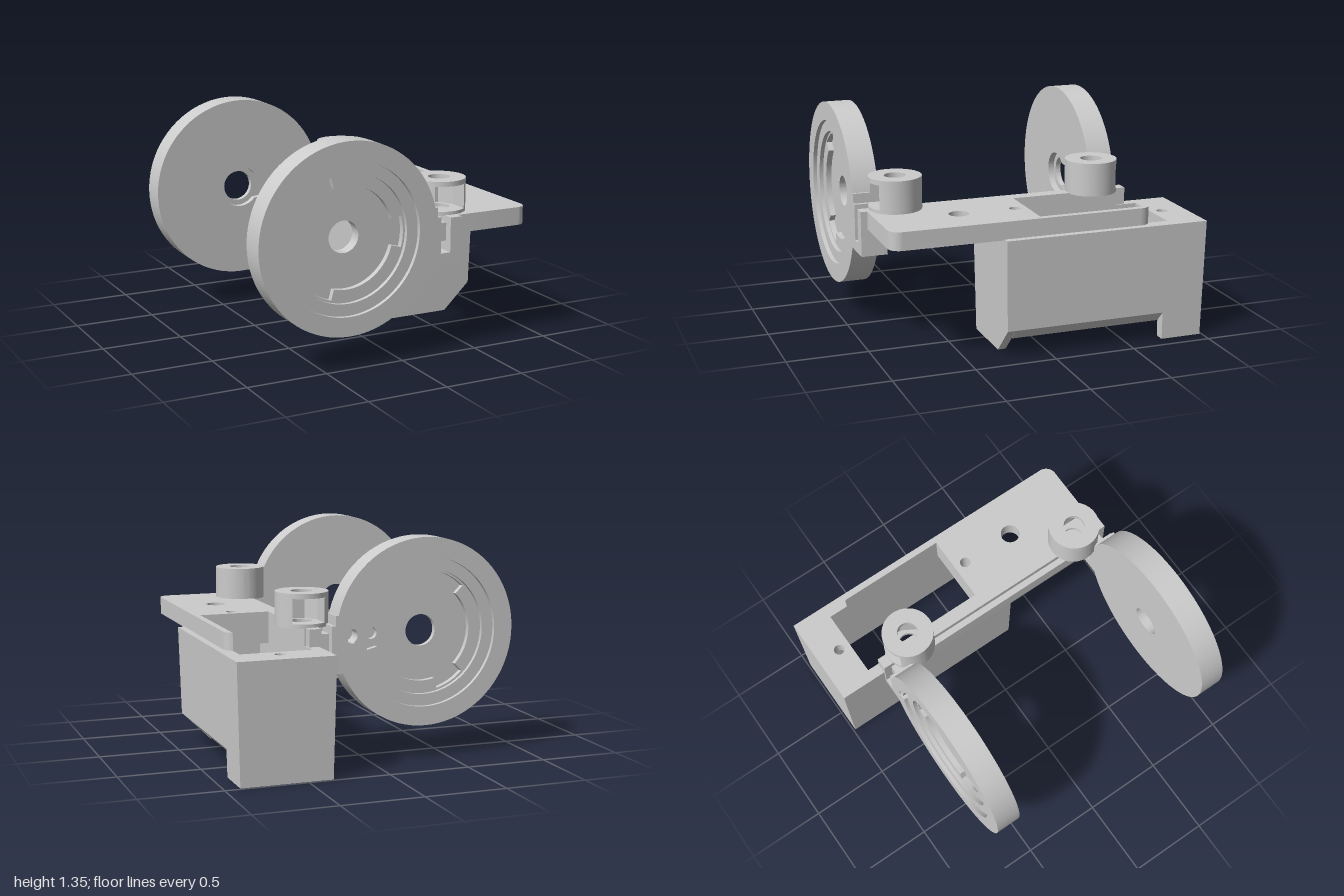
import * as THREE from 'three';
import { toCreasedNormals } from 'three/addons/utils/BufferGeometryUtils.js';

export function createModel() {
  const model = new THREE.Group();
  model.name = 'wheeledServoBracket';
  const grey = new THREE.MeshStandardMaterial({ color: 0xcccccc });
  grey.name = 'lightGrey';

  const add = (name, geo, parent = model) => {
    const mesh = new THREE.Mesh(toCreasedNormals(geo, 0.5), grey);
    mesh.name = name;
    parent.add(mesh);
  };
  const poly = pts => new THREE.Shape(pts.map(p => new THREE.Vector2(p[0], p[1])));
  const circle = (x, y, r) => new THREE.Path().absarc(x, y, r, 0, Math.PI * 2);
  const disc = (x, y, r) => new THREE.Shape().absarc(x, y, r, 0, Math.PI * 2);
  // Slab from an x-y outline between two z values
  const slabZ = (shape, z0, z1) =>
    new THREE.ExtrudeGeometry(shape, { depth: z1 - z0, bevelEnabled: false, curveSegments: 40 }).translate(0, 0, z0);
  // Slab from an x, -z outline between two y values
  const slabY = (shape, y0, y1) =>
    new THREE.ExtrudeGeometry(shape, { depth: y1 - y0, bevelEnabled: false, curveSegments: 40 })
      .rotateX(-Math.PI / 2).translate(0, y0, 0);
  const box = (x0, x1, y0, y1, z0, z1) =>
    new THREE.BoxGeometry(x1 - x0, y1 - y0, z1 - z0).translate((x0 + x1) / 2, (y0 + y1) / 2, (z0 + z1) / 2);

  // Wheel discs: stacked rings form a stepped socket with three notches on the outer face
  const CX = -0.349, CY = 0.773, R = 0.572, T = 0.16;
  const notched = () => {
    const p = new THREE.Path();
    for (let i = 0; i < 3; i++) {
      const a = i * Math.PI * 2 / 3, h = 0.26;
      p.absarc(CX, CY, 0.37, a - h, a + h);
      p.absarc(CX, CY, 0.305, a + h, a + Math.PI * 2 / 3 - h);
    }
    p.closePath();
    return p;
  };
  // Keyhole pocket for a lever arm
  const hornSlot = () => {
    const p = new THREE.Path();
    p.absarc(CX, CY, 0.13, 0.7, Math.PI * 2 - 0.7);
    p.absarc(CX + 0.47, CY, 0.05, -Math.PI / 2, Math.PI / 2);
    p.closePath();
    return p;
  };
  // Rim opening, scalloped where the outer screw hole breaks into it
  const scallopedRim = () => {
    const p = new THREE.Path();
    p.absarc(CX, CY, 0.455, 0.085, Math.PI * 2 - 0.085);
    p.absarc(CX + 0.47, CY, 0.042, -1.985, 1.985);
    p.closePath();
    return p;
  };
  const addWheel = (name, inner, s, horn) => {
    const wheel = new THREE.Group();
    wheel.name = name;
    const layer = (part, holes, a, b) => {
      const sh = disc(CX, CY, R);
      sh.holes.push(...holes);
      const z0 = inner + s * a, z1 = inner + s * b;
      add(part, slabZ(sh, Math.min(z0, z1), Math.max(z0, z1)), wheel);
    };
    const hub = () => circle(CX, CY, 0.096);
    const innerScrew = () => (horn ? [circle(CX + 0.32, CY, 0.036)] : []);
    const outerScrew = () => (horn ? [circle(CX + 0.47, CY, 0.042)] : []);
    layer('innerFace', [horn ? hornSlot() : hub()], 0, 0.04);
    layer('web', [hub(), ...innerScrew(), ...outerScrew()], 0.04, 0.075);
    layer('notchedRing', [notched(), ...outerScrew()], 0.075, 0.11);
    layer('stepRing', [circle(CX, CY, 0.383), ...outerScrew()], 0.11, 0.135);
    layer('rim', [horn ? scallopedRim() : circle(CX, CY, 0.455)], 0.135, T);
    model.add(wheel);
  };
  addWheel('frontWheel', 0.84, 1, false);
  addWheel('backWheel', -0.54, -1, true);

  // U-shaped hinge brackets joining each wheel to the plate
  const bracket = [[0.15, 0.555], [0.39, 0.555], [0.39, 0.83], [0.315, 0.83], [0.315, 0.62],
    [0.25, 0.62], [0.25, 0.84], [0.225, 0.84], [0.225, 0.9], [0.15, 0.9]];
  for (const [name, z] of [['frontBracket', 0.84], ['backBracket', -0.7]])
    add(name, slabZ(poly(bracket), z, z + T));
  add('frontCrossPiece', box(0.245, 0.32, 0.68, 0.79, 0.84, 0.95));
  add('backCrossPiece', box(0.245, 0.32, 0.68, 0.79, -0.65, -0.54));
  add('sideRail', box(0.275, 0.33, 0.68, 0.79, -0.54, 0.84));
  add('underRail', box(0.32, 0.39, 0.655, 0.73, -0.64, 0.95));

  // Top plate: open at the back around the bay, rounded outer corners
  const plate = new THREE.Shape();
  plate.moveTo(0.315, -0.96);
  plate.lineTo(0.81, -0.96);
  plate.absarc(0.81, -0.89, 0.07, -Math.PI / 2, 0);
  plate.lineTo(0.88, 0.58);
  plate.quadraticCurveTo(0.88, 0.63, 0.84, 0.65);
  plate.lineTo(0.84, -0.045);
  plate.lineTo(0.4, -0.045);
  plate.lineTo(0.4, 0.64);
  plate.lineTo(0.315, 0.64);
  plate.closePath();
  plate.holes.push(circle(0.62, -0.12, 0.033), circle(0.62, -0.47, 0.06));
  add('topPlate', slabY(plate, 0.72, 0.83));

  // Housing, open underneath: outer faces taper, inner faces stay upright
  const H = 0.725;
  const taper = geo => {
    const p = geo.attributes.position;
    for (let i = 0; i < p.count; i++) {
      const k = 1 - p.getY(i) / H, x = p.getX(i), z = p.getZ(i);
      if (x > 0.91) p.setX(i, x - 0.018 * k);
      if (x < 0.34) p.setX(i, x + 0.016 * k);
      if (z > 0.27) p.setZ(i, z - 0.012 * k);
      if (z < -0.99) p.setZ(i, z + 0.013 * k);
    }
    return geo;
  };
  const housing = new THREE.Group();
  housing.name = 'housing';
  model.add(housing);
  const frontWall = poly([[0.33, 0], [0.735, 0], [0.923, 0.17], [0.923, H], [0.33, H]]);
  const rightWall = poly([[0.84, 0.1], [0.923, 0.17], [0.923, H], [0.84, H]]);
  add('housingFront', taper(slabZ(frontWall, 0.22, 0.28)), housing);
  add('housingSideChamfered', taper(slabZ(rightWall, -0.73, 0.22)), housing);
  add('housingSideRear', taper(box(0.84, 0.923, 0, H, -1, -0.73)), housing);
  add('housingInnerSide', taper(box(0.33, 0.4, 0, H, -1, 0.22)), housing);
  add('housingBack', taper(box(0.4, 0.84, 0, H, -1, -0.93)), housing);
  const lidBack = poly([[0.4, 0.775], [0.84, 0.775], [0.84, 0.93], [0.4, 0.93]]);
  lidBack.holes.push(circle(0.62, 0.85, 0.033));
  const lidFront = poly([[0.4, -0.22], [0.84, -0.22], [0.84, -0.045], [0.4, -0.045]]);
  lidFront.holes.push(circle(0.62, -0.12, 0.033));
  add('lidBack', slabY(lidBack, 0.63, H), housing);
  add('lidFront', slabY(lidFront, 0.63, H), housing);

  // Screw bosses with a hexagonal nut pocket that opens outwards
  const ring = () => {
    const s = disc(0, 0, 0.16);
    s.holes.push(circle(0, 0, 0.065));
    return s;
  };
  const addBoss = (name, z, turn) => {
    const boss = new THREE.Group();
    boss.name = name;
    const body = poly([[0.1, 0.125], [0.1, 0], [0.05, -0.087], [-0.05, -0.087], [-0.1, 0], [-0.1, 0.125]]);
    body.absarc(0, 0, 0.16, 2.245, 0.896 + Math.PI * 2);
    add('bossBase', slabY(ring(), 0.825, 0.85), boss);
    add('bossBody', slabY(body, 0.85, 1.0), boss);
    add('bossCap', slabY(ring(), 1.0, 1.03), boss);
    boss.position.set(0.362, 0, z);
    boss.rotation.y = turn;
    model.add(boss);
  };
  addBoss('frontBoss', 0.78, Math.PI);
  addBoss('backBoss', -0.48, 0);

  return model;
}
